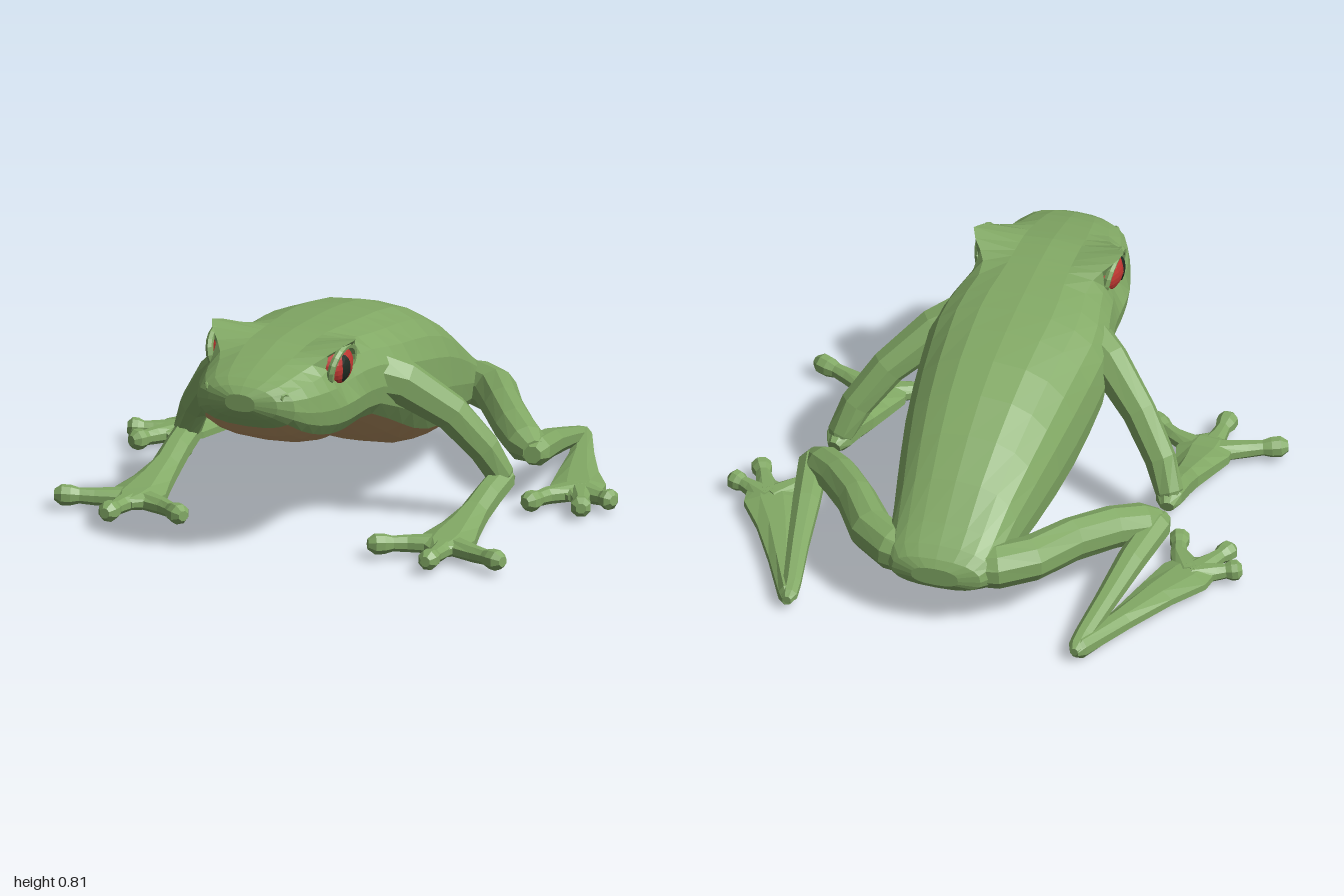
import * as THREE from 'three';

const paint = (name, color, extra = {}) => {
  const m = new THREE.MeshStandardMaterial({ color, flatShading: true, ...extra });
  m.name = name;
  return m;
};

// Skin a list of rings; belly(j, k) picks the second material for a face
function loft(rings, belly = () => false) {
  const n = rings[0].length;
  const faces = [[], []];
  const center = (ring) => ring.reduce((c, p) => c.add(p), new THREE.Vector3()).divideScalar(n);
  const first = center(rings[0]);
  const last = center(rings[rings.length - 1]);
  for (let k = 0; k < n; k++) {
    const q = (k + 1) % n;
    for (let j = 0; j < rings.length - 1; j++) {
      const [a, b, c, d] = [rings[j][k], rings[j][q], rings[j + 1][k], rings[j + 1][q]];
      faces[belly(j, k) ? 1 : 0].push(a, c, b, b, c, d);
    }
    const end = rings[rings.length - 1];
    faces[0].push(first, rings[0][k], rings[0][q], last, end[q], end[k]);
  }
  const geo = new THREE.BufferGeometry().setFromPoints([...faces[0], ...faces[1]]);
  geo.addGroup(0, faces[0].length, 0);
  if (faces[1].length) geo.addGroup(faces[0].length, faces[1].length, 1);
  geo.computeVertexNormals();
  return geo;
}

// Limb through points [x, y, z, half width, half height]; s mirrors x
function limb(points, s, sides = 8) {
  const pos = points.map((p) => new THREE.Vector3(p[0] * s, p[1], p[2]));
  const up = new THREE.Vector3(0, 1, 0);
  return loft(pos.map((p, i) => {
    const t = pos[Math.min(i + 1, pos.length - 1)].clone().sub(pos[Math.max(i - 1, 0)]).normalize();
    const side = t.clone().cross(up).normalize();
    const over = side.clone().cross(t);
    const [, , , w, h = w] = points[i];
    return Array.from({ length: sides }, (_, k) => {
      const a = ((k + 0.5) / sides) * Math.PI * 2;
      return p.clone().addScaledVector(side, Math.cos(a) * w).addScaledVector(over, Math.sin(a) * h);
    });
  }));
}

// Toe with a round pad at the tip
function toe(base, mid, tip, s) {
  const mix = (f) => mid.map((v, i) => v + (tip[i] - v) * f);
  return limb([
    [...base, 0.06, 0.036],
    [...mid, 0.034, 0.032],
    [...mix(0.45), 0.028, 0.029],
    [...mix(0.72), 0.038, 0.038],
    [...mix(1), 0.039, 0.039],
    [...mix(1.22), 0.02, 0.02],
  ], s);
}

// Body sections: z, top, bottom, half width
const SECTIONS = [
  [-0.86, 0.27, 0.2, 0.09], [-0.84, 0.3, 0.175, 0.17], [-0.8, 0.335, 0.155, 0.205], [-0.73, 0.385, 0.14, 0.218],
  [-0.6, 0.49, 0.128, 0.24], [-0.45, 0.59, 0.13, 0.272], [-0.3, 0.668, 0.148, 0.3],
  [-0.15, 0.722, 0.175, 0.32], [0, 0.752, 0.23, 0.335], [0.12, 0.768, 0.292, 0.345],
  [0.22, 0.777, 0.35, 0.335], [0.32, 0.784, 0.405, 0.31], [0.39, 0.788, 0.41, 0.296], [0.43, 0.79, 0.407, 0.291],
  [0.47, 0.79, 0.405, 0.288], [0.52, 0.79, 0.405, 0.286], [0.57, 0.788, 0.41, 0.283], [0.62, 0.78, 0.42, 0.278],
  [0.67, 0.77, 0.435, 0.265], [0.72, 0.76, 0.455, 0.25], [0.78, 0.745, 0.49, 0.228], [0.84, 0.725, 0.54, 0.195],
  [0.875, 0.705, 0.58, 0.14], [0.9, 0.68, 0.615, 0.06],
];

function bodyGeometry() {
  const n = 20;
  const power = (v) => Math.sign(v) * Math.abs(v) ** 0.8;
  const bump = (z, mid, width) => Math.exp(-(((z - mid) / width) ** 2));
  const rings = SECTIONS.map(([z, top, bottom, w]) => {
    const mid = bottom + 0.45 * (top - bottom);
    return Array.from({ length: n }, (_, k) => {
      const a = -Math.PI / 2 + (k / n) * Math.PI * 2;
      const sin = power(Math.sin(a));
      const p = new THREE.Vector3(-w * power(Math.cos(a)), mid + sin * (sin > 0 ? top - mid : mid - bottom), z);
      const s = Math.sign(p.x);
      // raised brow above a hollow eye socket
      if (k === 8 || k === 12) p.lerp(new THREE.Vector3(s * 0.287, 0.813, z), bump(z, 0.52, 0.1));
      if (k === 7 || k === 13) p.lerp(new THREE.Vector3(s * 0.21, 0.74, z), bump(z, 0.54, 0.08));
      if (k === 6 || k === 14) p.lerp(new THREE.Vector3(s * 0.25, 0.645, z), bump(z, 0.54, 0.08));
      return p;
    });
  });
  const inBelly = (z) => z > -0.65 && z < 0.83;
  return loft(rings, (j, k) => inBelly(SECTIONS[j][0]) && (k < 3 || k > 16));
}

export function createModel() {
  const green = paint('skin green', 0x82a965);
  const brown = paint('belly tan', 0xba9464);
  const red = paint('eye red', 0xbe3731);
  const black = paint('pupil black', 0x1f2a22, { side: THREE.DoubleSide });
  const model = new THREE.Group();
  model.name = 'frog';
  const add = (name, geo, mat, parent = model) => {
    const mesh = new THREE.Mesh(geo, mat);
    mesh.name = name;
    parent.add(mesh);
  };

  add('body', bodyGeometry(), [green, brown]);

  for (const s of [1, -1]) {
    const label = s > 0 ? 'left' : 'right';
    const group = (name) => {
      const g = new THREE.Group();
      g.name = label + name;
      model.add(g);
      return g;
    };

    // Eye with rim and upright pupil
    const eye = group('Eye');
    const [ex, ey, ez] = [0.22, 0.716, 0.54];
    const ball = new THREE.SphereGeometry(1, 16, 12).scale(0.056, 0.074, 0.09).translate(s * ex, ey, ez);
    add('eyeball', ball, red, eye);
    const rim = new THREE.TorusGeometry(0.084, 0.014, 6, 18).rotateY(Math.PI / 2).scale(1, 0.92, 1.12);
    add('eyeRim', rim.rotateZ(-s * 0.2).translate(s * 0.243, ey, ez), green, eye);
    const pupil = new THREE.RingGeometry(0.001, 1, 16, 3);
    const pp = pupil.attributes.position;
    for (let i = 0; i < pp.count; i++) {
      const dz = 0.026 + pp.getX(i) * 0.024;
      const dy = pp.getY(i) * 0.052;
      const x = ex + 0.004 + 0.056 * Math.sqrt(1 - (dz / 0.09) ** 2 - (dy / 0.074) ** 2);
      pp.setXYZ(i, s * x, ey + dy, ez + dz);
    }
    pupil.computeVertexNormals();
    add('pupil', pupil, black, eye);

    // Nostril rim
    const nostril = new THREE.TorusGeometry(0.014, 0.006, 5, 8).rotateY(s * 0.9);
    add(label + 'Nostril', nostril.translate(s * 0.158, 0.672, 0.848), green);

    // Front leg
    const front = group('FrontLeg');
    add('upperArm', limb([
      [0.22, 0.6, 0.26, 0.1, 0.1], [0.33, 0.56, 0.2, 0.075, 0.085], [0.48, 0.43, 0.1, 0.062, 0.07],
      [0.58, 0.29, 0.035, 0.057, 0.063], [0.628, 0.18, -0.005, 0.052], [0.637, 0.145, -0.025, 0.03],
    ], s), green, front);
    add('forearm', limb([
      [0.637, 0.15, -0.062, 0.026], [0.63, 0.165, -0.02, 0.052], [0.625, 0.13, 0.1, 0.052, 0.056],
      [0.62, 0.095, 0.2, 0.056, 0.054], [0.62, 0.07, 0.32, 0.08, 0.048], [0.62, 0.058, 0.42, 0.11, 0.04],
      [0.625, 0.056, 0.49, 0.1, 0.036], [0.63, 0.055, 0.54, 0.035, 0.024],
    ], s), green, front);
    const palm = [0.625, 0.056, 0.45];
    for (const [mid, tip] of [
      [[0.765, 0.055, 0.51], [0.877, 0.06, 0.555]],
      [[0.638, 0.055, 0.55], [0.643, 0.06, 0.66]],
      [[0.49, 0.055, 0.505], [0.392, 0.06, 0.575]],
    ]) add('finger', toe(palm, mid, tip, s), green, front);

    // Hind leg
    const hind = group('HindLeg');
    add('thigh', limb([
      [0.06, 0.235, -0.76, 0.08, 0.07], [0.2, 0.245, -0.735, 0.085, 0.085], [0.305, 0.25, -0.66, 0.082, 0.085],
      [0.41, 0.25, -0.5, 0.073, 0.085], [0.52, 0.235, -0.36, 0.075, 0.08], [0.61, 0.215, -0.27, 0.075, 0.072],
      [0.66, 0.205, -0.225, 0.046, 0.045],
    ], s, 10), green, hind);
    add('shank', limb([
      [0.665, 0.2, -0.2, 0.034], [0.655, 0.2, -0.25, 0.058], [0.62, 0.165, -0.45, 0.053],
      [0.588, 0.115, -0.65, 0.042], [0.557, 0.068, -0.82, 0.035], [0.55, 0.052, -0.88, 0.032],
      [0.549, 0.05, -0.91, 0.016],
    ], s), green, hind);
    add('foot', limb([
      [0.549, 0.042, -0.905, 0.018], [0.56, 0.045, -0.87, 0.034, 0.044], [0.65, 0.047, -0.66, 0.05, 0.038],
      [0.725, 0.05, -0.47, 0.08, 0.034], [0.79, 0.052, -0.33, 0.11, 0.032], [0.815, 0.052, -0.27, 0.09, 0.03],
      [0.83, 0.052, -0.22, 0.03, 0.02],
    ], s), green, hind);
    const sole = [0.805, 0.052, -0.31];
    for (const [mid, tip] of [
      [[0.89, 0.053, -0.27], [0.962, 0.058, -0.24]],
      [[0.855, 0.053, -0.21], [0.895, 0.056, -0.125]],
      [[0.725, 0.053, -0.2], [0.697, 0.056, -0.1]],
    ]) add('toe', toe(sole, mid, tip, s), green, hind);
  }
  return model;
}
